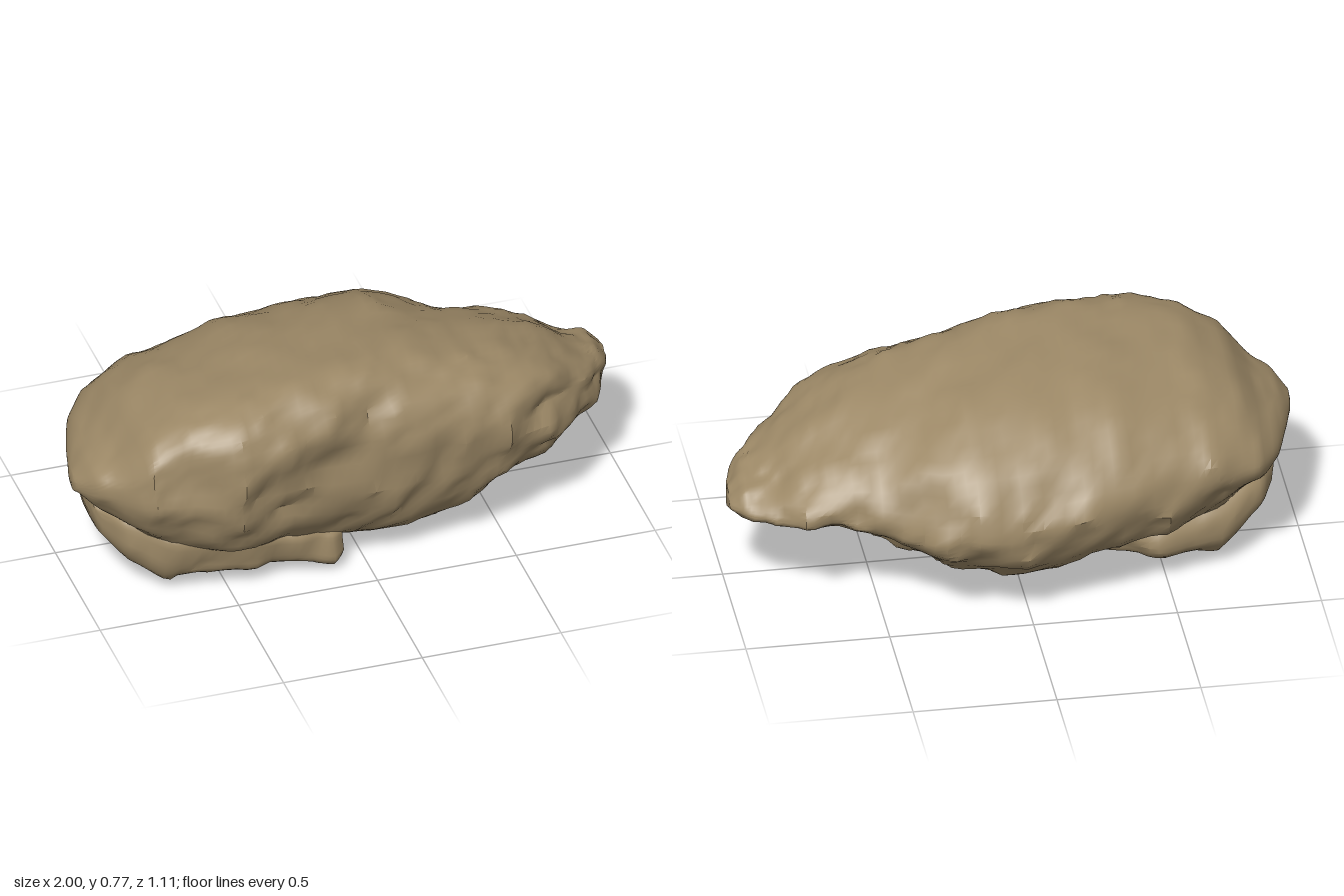
import * as THREE from 'three';
import { toCreasedNormals } from 'three/addons/utils/BufferGeometryUtils.js';

// Seeded lattice value in -1..1
function hash(x, y, z) {
  let h = Math.imul(x, 374761393) ^ Math.imul(y, 668265263) ^ Math.imul(z, 1440662683) ^ 1013;
  h = Math.imul(h ^ (h >>> 13), 1274126177);
  h = Math.imul(h ^ (h >>> 16), 2246822519);
  return ((h ^ (h >>> 15)) >>> 0) / 2147483648 - 1;
}

// Linear blend between lattice values gives chipped, faceted dents
function noise(x, y, z) {
  const [i, j, k] = [x, y, z].map(Math.floor);
  const [u, v, w] = [x - i, y - j, z - k];
  let sum = 0;
  for (let c = 0; c < 8; c++) {
    const [a, b, d] = [c & 1, (c >> 1) & 1, c >> 2];
    sum += hash(i + a, j + b, k + d) * (a ? u : 1 - u) * (b ? v : 1 - v) * (d ? w : 1 - w);
  }
  return sum;
}

// Piecewise-linear lookup in a list of [x, value]
function at(list, x) {
  if (x <= list[0][0]) return list[0][1];
  for (let i = 1; i < list.length; i++) {
    const [x0, v0] = list[i - 1], [x1, v1] = list[i];
    if (x <= x1) return v0 + (v1 - v0) * (x - x0) / (x1 - x0);
  }
  return list[list.length - 1][1];
}

const power = (v, e) => Math.pow(Math.abs(v), 2 / e);

// Lofts a boulder along x; each section has four quadrants meeting at its extremes
function rock(p, rings, sides, rough) {
  const pos = [], index = [];
  for (let i = 0; i <= rings; i++) {
    const x = (p.x0 + p.x1) / 2 - Math.cos(i / rings * Math.PI) * (p.x1 - p.x0) / 2;
    const top = at(p.top, x), bottom = at(p.bottom, x), back = at(p.back, x), front = at(p.front, x);
    const zTop = front + (back - front) * at(p.peak, x), zLow = front + (back - front) * p.keel;
    const mid = (front + back) / 2;
    const end = i === 0 || i === rings;
    for (let j = 0; j < sides; j++) {
      const a = j / sides * Math.PI * 2, c = Math.cos(a), s = Math.sin(a);
      if (end) {
        pos.push(x, (top + bottom) / 2, mid);
        continue;
      }
      const up = s >= 0, fore = c >= 0;
      const e = at(up ? (fore ? p.upperFront : p.upperBack) : (fore ? p.lowerFront : p.lowerBack), x);
      const cz = up ? zTop : zLow;
      // Widest height differs between front and back
      const waistBack = at(p.waistBack, x);
      const waist = bottom + (top - bottom) * (waistBack + (0.6 - waistBack) * (1 + c) / 2);
      const z = cz + ((fore ? front : back) - cz) * power(c, e);
      const y = waist + ((up ? top : bottom) - waist) * power(s, e);
      const calm = up ? 1 - 0.65 * s : 1;
      const n = rough * (calm * (0.034 * noise(x * 6 + 9, y * 8, z * 6)
        + 0.024 * noise(x * 12, y * 14 + 5, z * 12)) + 0.008 * noise(x * 25, y * 25, z * 25 + 3));
      pos.push(Math.min(p.x1, Math.max(p.x0, x + n * 0.5)), Math.max(0, y + s * n), z + c * n);
    }
  }
  for (let i = 0; i < rings; i++) {
    for (let j = 0; j < sides; j++) {
      const k = (j + 1) % sides;
      const a = i * sides + j, b = a + sides, c = (i + 1) * sides + k, d = i * sides + k;
      if (i < rings - 1) index.push(a, b, c);
      if (i > 0) index.push(a, c, d);
    }
  }
  const geo = new THREE.BufferGeometry();
  geo.setAttribute('position', new THREE.Float32BufferAttribute(pos, 3));
  geo.setIndex(index);
  return toCreasedNormals(geo, 0.6);
}

// Main boulder: crest near the front, long slope to the back, tapering to a blunt left tip
const boulder = {
  x0: -1, x1: 1, keel: 0.42,
  upperFront: [[-0.3, 2.8], [0.3, 2.6]],
  upperBack: [[0.1, 1.95], [0.35, 1.85]],
  lowerFront: [[-0.3, 2.2], [0.1, 2.8]],
  lowerBack: [[-0.6, 1.9], [-0.2, 1.75]],
  peak: [[-1, 0.35], [-0.5, 0.24], [-0.2, 0.22], [0.2, 0.28], [0.6, 0.3], [1, 0.42]],
  waistBack: [[-1, 0.52], [-0.6, 0.48], [0.2, 0.46], [0.42, 0.36], [0.8, 0.36], [1, 0.45]],
  top: [[-1, 0.44], [-0.95, 0.5], [-0.86, 0.56], [-0.78, 0.65], [-0.65, 0.72], [-0.5, 0.75], [-0.23, 0.785],
    [0, 0.77], [0.2, 0.75], [0.4, 0.7], [0.55, 0.66], [0.7, 0.61], [0.8, 0.55], [0.87, 0.5], [0.95, 0.47], [1, 0.42]],
  bottom: [[-1, 0.4], [-0.9, 0.31], [-0.7, 0.16], [-0.55, 0.1], [-0.3, 0.07], [-0.13, 0.02], [0.05, 0.03],
    [0.2, 0.08], [0.42, 0.14], [0.55, 0.22], [0.7, 0.27], [0.95, 0.31], [1, 0.35]],
  back: [[-1, 0.14], [-0.96, 0], [-0.9, -0.18], [-0.83, -0.28], [-0.7, -0.35], [-0.5, -0.42], [-0.2, -0.5], [0.17, -0.54],
    [0.28, -0.52], [0.35, -0.45], [0.42, -0.4], [0.6, -0.36], [0.75, -0.34], [0.83, -0.27], [0.95, -0.2], [1, -0.14]],
  front: [[-1, 0.21], [-0.95, 0.3], [-0.88, 0.37], [-0.78, 0.47], [-0.5, 0.53], [-0.2, 0.48], [0, 0.45],
    [0.4, 0.43], [0.5, 0.42], [0.65, 0.36], [0.8, 0.26], [0.9, 0.17], [0.98, 0.05], [1, 0]],
};

// Split-off slab under the right end, broken off square towards the middle
const slab = {
  x0: -0.92, x1: -0.08, keel: 0.5,
  upperFront: [[0, 2.6]],
  upperBack: [[0, 2.4]],
  lowerFront: [[-0.6, 3.6], [-0.3, 5]],
  lowerBack: [[0, 2.4]],
  peak: [[0, 0.5]],
  waistBack: [[0, 0.46]],
  top: [[-0.92, 0.32], [-0.8, 0.35], [-0.5, 0.3], [-0.08, 0.2]],
  bottom: [[-0.92, 0.26], [-0.9, 0.19], [-0.8, 0.1], [-0.7, 0.02], [-0.55, 0.04], [-0.4, 0.05], [-0.2, 0.05], [-0.13, 0.02], [-0.08, 0.04]],
  back: [[-0.92, 0], [-0.85, -0.16], [-0.7, -0.26], [-0.45, -0.31], [-0.25, -0.18], [-0.08, -0.03]],
  front: [[-0.92, 0.18], [-0.85, 0.31], [-0.7, 0.4], [-0.4, 0.42], [-0.12, 0.41], [-0.08, 0.38]],
};

export function createModel() {
  const group = new THREE.Group();
  group.name = 'rock';
  const stone = new THREE.MeshStandardMaterial({ color: 0x9c8866 });
  stone.name = 'brown stone';
  const add = (name, geo) => {
    const mesh = new THREE.Mesh(geo, stone);
    mesh.name = name;
    group.add(mesh);
  };
  add('boulder', rock(boulder, 84, 72, 1));
  add('lowerSlab', rock(slab, 40, 48, 0.8));
  return group;
}
